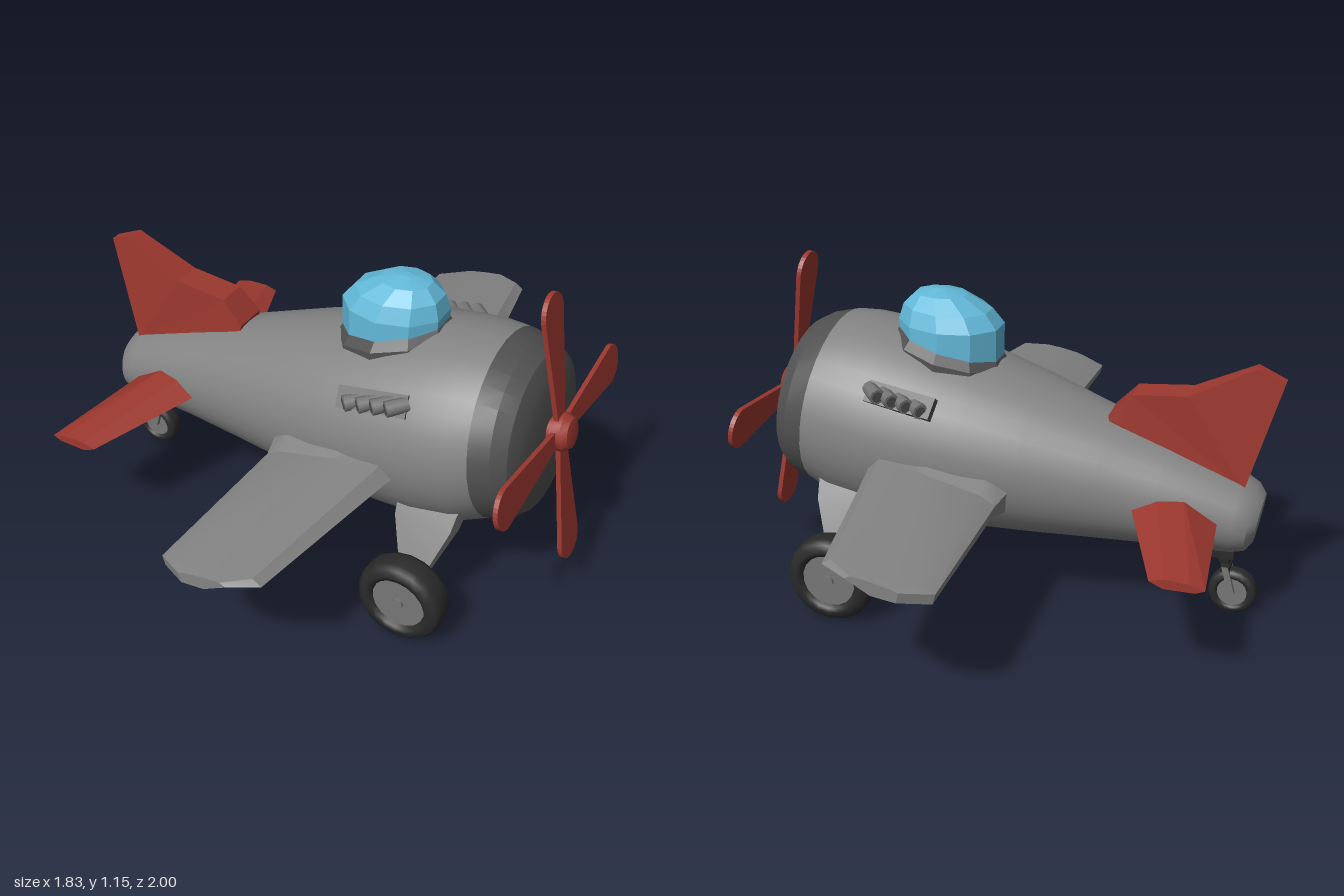
import * as THREE from 'three';
import { toCreasedNormals, mergeVertices } from 'three/addons/utils/BufferGeometryUtils.js';

const mat = (name, color) => {
  const m = new THREE.MeshStandardMaterial({ color });
  m.name = name;
  return m;
};

// Skin a row of equal-length rings, close both ends, and keep sharp edges
function loft(rings, crease = 0.6) {
  const n = rings[0].length, pos = rings.flat(2), idx = [];
  for (let r = 0; r < rings.length - 1; r++) {
    for (let i = 0; i < n; i++) {
      const a = r * n + i, b = r * n + (i + 1) % n;
      idx.push(a, b, a + n, b, b + n, a + n);
    }
  }
  [0, rings.length - 1].forEach((r, end) => {
    const c = [0, 1, 2].map(k => rings[r].reduce((s, p) => s + p[k], 0) / n);
    const ci = pos.length / 3;
    pos.push(...c);
    for (let i = 0; i < n; i++) {
      const a = r * n + i, b = r * n + (i + 1) % n;
      idx.push(ci, end ? a : b, end ? b : a);
    }
  });
  // Turn the faces outward when the signed volume is negative
  const v = i => new THREE.Vector3(...pos.slice(i * 3, i * 3 + 3));
  let volume = 0;
  for (let i = 0; i < idx.length; i += 3) volume += v(idx[i]).dot(v(idx[i + 1]).cross(v(idx[i + 2])));
  if (volume < 0) idx.reverse();
  const g = new THREE.BufferGeometry();
  g.setAttribute('position', new THREE.Float32BufferAttribute(pos, 3));
  g.setIndex(idx);
  return toCreasedNormals(g, crease);
}

// Elliptical ring between a top point and a bottom point
const hoop = ([xt, yt, xb, yb, w], n = 32) => Array.from({ length: n }, (_, i) => {
  const a = i / n * Math.PI * 2, c = Math.cos(a);
  return [(xt + xb) / 2 + (xt - xb) / 2 * c, (yt + yb) / 2 + (yt - yb) / 2 * c, w * Math.sin(a)];
});

export function createModel() {
  const model = new THREE.Group();
  const grey = mat('body grey', 0x838383), dark = mat('cowl dark grey', 0x505050);
  const red = mat('red', 0x9c382f), blue = mat('canopy blue', 0x62b8d8);
  const black = mat('tyre black', 0x2a2a2a), metal = mat('hub grey', 0x767676);
  const add = (name, geo, material, parent = model) => {
    const m = new THREE.Mesh(geo, material);
    m.name = name;
    parent.add(m);
    return m;
  };

  // Fuselage and nose: [top x, top y, bottom x, bottom y, half width]
  const rim = [0.62, 0.945, 0.70, 0.325, 0.335];
  add('fuselage', loft([
    [-0.875, 0.46, -0.85, 0.30, 0.10], [-0.85, 0.495, -0.825, 0.268, 0.135],
    [-0.80, 0.525, -0.78, 0.257, 0.152], [-0.55, 0.625, -0.53, 0.25, 0.192],
    [-0.35, 0.70, -0.34, 0.245, 0.235], [-0.10, 0.79, -0.09, 0.24, 0.295],
    [0.10, 0.855, 0.11, 0.237, 0.332], [0.28, 0.905, 0.30, 0.235, 0.352],
    [0.44, 0.938, 0.46, 0.24, 0.357], [0.54, 0.948, 0.60, 0.272, 0.35], rim,
  ].map(r => hoop(r))), grey);
  add('engineCowl', loft([
    rim, [0.69, 0.928, 0.765, 0.345, 0.318], [0.742, 0.90, 0.80, 0.38, 0.285],
    [0.765, 0.86, 0.808, 0.42, 0.245], [0.785, 0.80, 0.813, 0.49, 0.165],
  ].map(r => hoop(r)), 0.3), dark);

  // Cockpit: ten-sided shells whose base follows the sloping back
  const shell = rows => loft(rows.map(([rx, rz, y, slope, cx]) =>
    Array.from({ length: 10 }, (_, i) => {
      const a = (i + 0.5) / 10 * Math.PI * 2, x = rx * Math.cos(a);
      return [cx + x, y + slope * x, rz * Math.sin(a)];
    })), 0.2);
  add('canopyFrame', shell([[0.20, 0.185, 0.79, 0.24, 0.23], [0.20, 0.18, 0.865, 0.24, 0.23],
    [0.18, 0.15, 0.895, 0.24, 0.23]]), dark);
  add('canopyGlass', shell([[0.182, 0.152, 0.87, 0.24, 0.228], [0.184, 0.148, 0.962, 0.02, 0.228],
    [0.155, 0.122, 1.015, 0.04, 0.24], [0.09, 0.075, 1.06, 0.02, 0.262],
    [0.015, 0.015, 1.076, 0, 0.265]]), blue);

  // Wings and tailplane: sections of [x, y] at growing distance z
  const wing = [
    [0.24, [[-0.08, 0.50], [0.0, 0.57], [0.2, 0.61], [0.38, 0.615], [0.44, 0.54], [0.2, 0.42], [-0.06, 0.40]]],
    [0.37, [[-0.05, 0.475], [0.0, 0.505], [0.2, 0.555], [0.36, 0.575], [0.40, 0.535], [0.2, 0.455], [-0.04, 0.432]]],
    [0.95, [[-0.065, 0.475], [0.0, 0.497], [0.16, 0.525], [0.265, 0.535], [0.295, 0.515], [0.16, 0.455], [-0.055, 0.44]]],
    [1.0, [[0.03, 0.49], [0.06, 0.50], [0.12, 0.512], [0.18, 0.52], [0.20, 0.51], [0.12, 0.465], [0.04, 0.455]]],
  ];
  const tailplane = [
    [0.12, [[-0.74, 0.415], [-0.62, 0.49], [-0.53, 0.49], [-0.435, 0.455], [-0.55, 0.375], [-0.70, 0.385]]],
    [0.59, [[-0.79, 0.415], [-0.74, 0.43], [-0.66, 0.433], [-0.615, 0.42], [-0.66, 0.40], [-0.76, 0.402]]],
  ];
  for (const [side, s] of [['right', 1], ['left', -1]]) {
    const sections = list => list.map(([z, pts]) => pts.map(([x, y]) => [x, y, z * s]));
    add(side + 'Wing', loft(sections(wing), 0.35), grey);
    add(side + 'Tailplane', loft(sections(tailplane), 0.25), red);
  }

  // Fin: a flat outline that thins toward its top and its rear edge
  const outline = [[-0.915, 0.88], [-0.82, 0.92], [-0.61, 0.81], [-0.42, 0.79], [-0.345, 0.71],
    [-0.36, 0.62], [-0.78, 0.46], [-0.81, 0.50]].map(p => new THREE.Vector2(...p));
  const fin = new THREE.ExtrudeGeometry(new THREE.Shape(outline), { depth: 2, bevelEnabled: false });
  fin.translate(0, 0, -1);
  const fp = fin.attributes.position;
  for (let i = 0; i < fp.count; i++) {
    const rear = THREE.MathUtils.clamp((fp.getX(i) + 1.0) / 0.3, 0.4, 1);
    fp.setZ(i, fp.getZ(i) * rear * (0.08 - 0.09 * (fp.getY(i) - 0.5)));
  }
  fin.computeVertexNormals();
  add('fin', fin, red);

  // Propeller, tilted slightly upward
  const propeller = new THREE.Group();
  propeller.name = 'propeller';
  propeller.position.set(0.83, 0.662, 0);
  propeller.rotation.z = 0.16;
  model.add(propeller);
  const shape = new THREE.Shape();
  shape.moveTo(0.025, 0.02);
  shape.lineTo(0.07, 0.425);
  shape.absarc(0, 0.43, 0.07, 0, Math.PI, false);
  shape.lineTo(-0.025, 0.02);
  const blade = new THREE.ExtrudeGeometry(shape, { depth: 0.016, bevelEnabled: false, curveSegments: 8 });
  blade.translate(0, 0, -0.008).rotateY(Math.PI / 2);
  for (let i = 0; i < 4; i++) add('blade', blade, red, propeller).rotation.x = i * Math.PI / 2;
  const spinner = new THREE.LatheGeometry([[0, -0.05], [0.045, -0.05], [0.045, -0.02], [0.064, -0.015],
    [0.064, 0.02], [0.05, 0.042], [0, 0.05]].map(p => new THREE.Vector2(...p)), 14);
  add('spinner', toCreasedNormals(mergeVertices(spinner), 0.5).rotateZ(-Math.PI / 2), red, propeller);

  // Wheels scaled from one unit design
  const disc = (r, h, n = 16) => new THREE.CylinderGeometry(r, r, h, n).rotateX(Math.PI / 2);
  function wheel(name, x, y, z, r, halfWidth) {
    const g = new THREE.Group();
    g.name = name;
    g.position.set(x, y, z);
    g.scale.set(r, r, halfWidth);
    model.add(g);
    const tyre = new THREE.LatheGeometry([[0.6, -0.6], [0.66, -0.95], [0.76, -1], [0.92, -0.85], [1, -0.5],
      [1, 0.5], [0.92, 0.85], [0.76, 1], [0.66, 0.95], [0.6, 0.6]].map(p => new THREE.Vector2(...p)), 18);
    add('tyre', tyre.rotateX(Math.PI / 2), black, g);
    add('hub', disc(0.63, 1.4), metal, g);
    add('hubRing', new THREE.TorusGeometry(0.52, 0.05, 6, 18).scale(1, 1, 15), metal, g);
    add('hubCap', disc(0.12, 1.7, 10), metal, g);
  }

  // Main gear: splayed legs that narrow toward the wheels
  for (const s of [1, -1]) {
    wheel('mainWheel', 0.512, 0.155, 0.443 * s, 0.153, 0.055);
    const leg = (y, z, w, t) => [[-w, -t], [w, -t], [w, t], [-w, t]]
      .map(([dx, d]) => [0.512 + dx, y + d * 0.5, (z + d) * s]);
    add('mainLeg', loft([leg(0.44, 0.235, 0.11, 0.04), leg(0.36, 0.29, 0.10, 0.036),
      leg(0.23, 0.365, 0.05, 0.022), leg(0.15, 0.405, 0.035, 0.02)]), grey);
  }

  // Tail gear
  wheel('tailWheel', -0.79, 0.09, 0, 0.084, 0.03);
  add('tailMount', new THREE.BoxGeometry(0.10, 0.04, 0.07), black).position.set(-0.74, 0.243, 0);
  const post = (x, y, h) => [[x - h, y, -h], [x + h, y, -h], [x + h, y, h], [x - h, y, h]];
  add('tailPost', loft([post(-0.74, 0.25, 0.02), post(-0.765, 0.175, 0.014)]), black);
  for (const s of [1, -1]) {
    const fork = (x, y) => post(x, y, 0.011).map(([a, b, c]) => [a, b, c + 0.026 * s]);
    add('tailFork', loft([fork(-0.762, 0.19), fork(-0.79, 0.09)]), metal);
  }
  add('tailForkBridge', new THREE.BoxGeometry(0.03, 0.02, 0.07), black).position.set(-0.763, 0.182, 0);

  // Exhaust stacks: a backing plate and four swept pipes on each side
  for (const s of [1, -1]) {
    const plate = add('exhaustPlate', new THREE.BoxGeometry(0.24, 0.075, 0.03), dark);
    plate.position.set(0.305, 0.772, 0.292 * s);
    plate.rotation.set(-0.65 * s, 0, 0.15);
    const dir = new THREE.Vector3(-0.7, -0.1, 0.7 * s).normalize();
    for (let i = 0; i < 4; i++) {
      const base = new THREE.Vector3(0.245 + i * 0.05, 0.762 + i * 0.011, 0.305 * s);
      const pipe = add('exhaustPipe', new THREE.CylinderGeometry(0.027, 0.024, 0.075, 8), metal);
      pipe.position.copy(base);
      pipe.quaternion.setFromUnitVectors(new THREE.Vector3(0, 1, 0), dir);
      add('exhaustOpening', new THREE.CylinderGeometry(0.019, 0.019, 0.004, 8), dark, pipe).position.y = 0.0375;
    }
  }
  return model;
}
